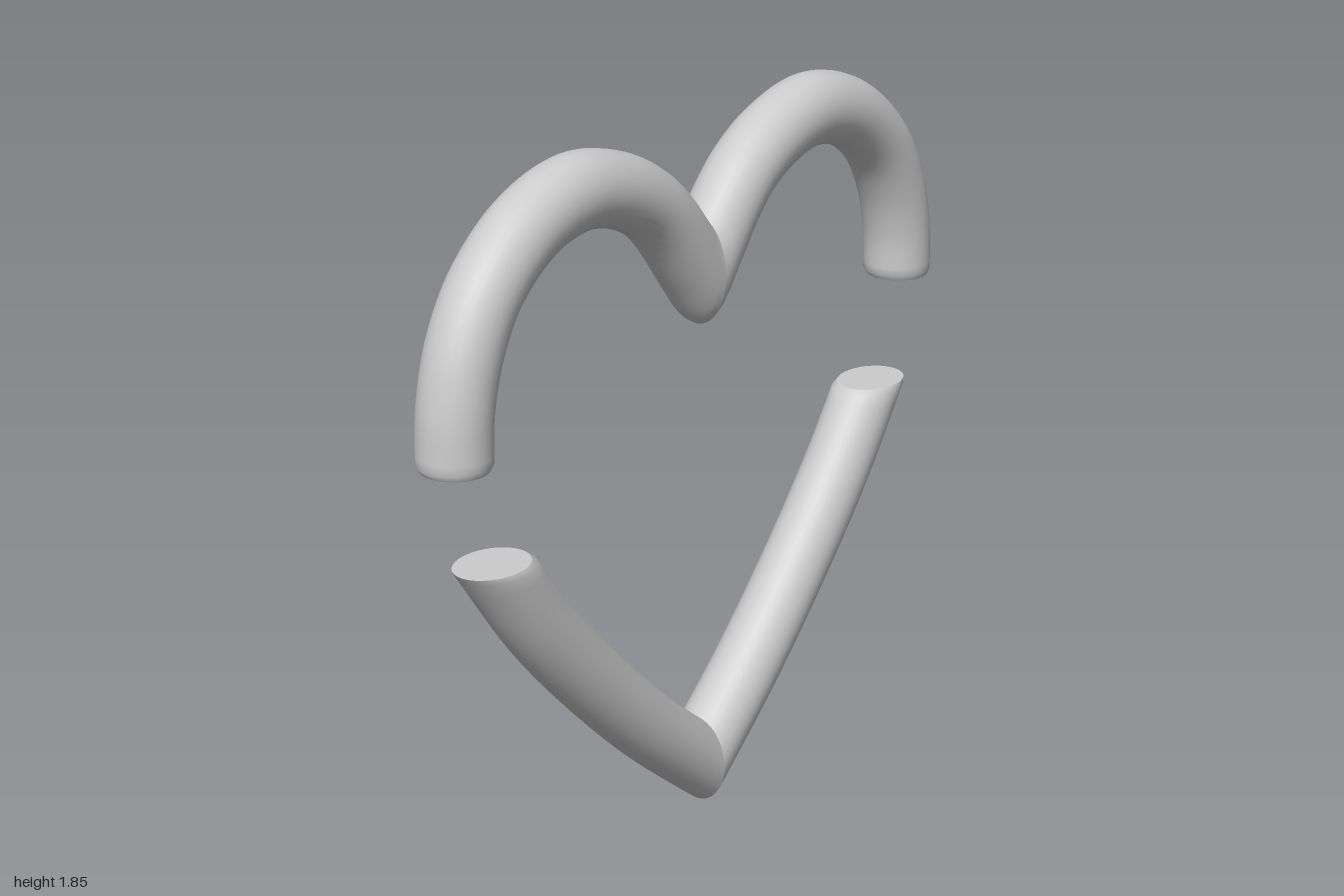
import * as THREE from 'three';

const RADIUS = 0.09;
const SIDES = 32;

// Right-hand half of each tube: matching outer and inner edge points, from the middle to the cut end
const UPPER = {
  outer: [[0, 1.594], [0.008, 1.603], [0.03, 1.628], [0.06, 1.662], [0.14, 1.735], [0.28, 1.812], [0.48, 1.853],
    [0.69, 1.797], [0.86, 1.665], [0.95, 1.52], [0.99, 1.37], [1, 1.232]],
  inner: [[0, 1.315], [0.025, 1.33], [0.1, 1.424], [0.195, 1.543], [0.256, 1.597], [0.353, 1.643], [0.465, 1.663],
    [0.6, 1.635], [0.72, 1.55], [0.783, 1.447], [0.815, 1.335], [0.82, 1.232]],
  cap: [[0.99, 1.217], [0.83, 1.217]],
  turn: 1,
};
const LOWER = {
  outer: [[0, 0], [0.035, 0.028], [0.274, 0.228], [0.495, 0.442], [0.7, 0.67], [0.888, 0.93]],
  inner: [[0, 0.237], [0.02, 0.253], [0.156, 0.367], [0.363, 0.57], [0.552, 0.781], [0.67, 0.933]],
  cap: [[0.898, 0.945], [0.688, 0.945]],
  turn: -1,
};

const vec = ([x, y]) => new THREE.Vector3(x, y, 0);

// Sweeps a round section between the two edges; side = -1 mirrors it to the other half
function halfTube({ outer, inner, cap, turn }, side) {
  const outerCurve = new THREE.CatmullRomCurve3(outer.map(vec));
  const innerCurve = new THREE.CatmullRomCurve3(inner.map(vec));
  const steps = (outer.length - 1) * 6;
  const rings = [];
  for (let i = 0; i <= steps; i++) {
    rings.push([outerCurve.getPoint(i / steps), innerCurve.getPoint(i / steps), RADIUS]);
  }
  // Slightly rounded rim, then a second copy so that the flat end keeps a sharp shade
  const rim = [vec(cap[0]), vec(cap[1]), RADIUS * 0.92];
  rings.push(rim, rim);

  const positions = [];
  for (const [a, b, depth] of rings) {
    for (let j = 0; j < SIDES; j++) {
      const angle = (j / SIDES) * Math.PI * 2;
      const p = b.clone().lerp(a, 0.5 + 0.5 * Math.cos(angle));
      positions.push(p.x * side, p.y, depth * Math.sin(angle));
    }
  }

  const index = [];
  const face = (a, b, c) => (turn * side > 0 ? index.push(a, b, c) : index.push(a, c, b));
  for (let i = 0; i < rings.length - 2; i++) {
    for (let j = 0; j < SIDES; j++) {
      const k = (j + 1) % SIDES;
      const a = i * SIDES;
      const b = a + SIDES;
      face(a + j, a + k, b + k);
      face(a + j, b + k, b + j);
    }
  }
  // Flat end
  const last = (rings.length - 1) * SIDES;
  for (let j = 1; j < SIDES - 1; j++) face(last, last + j, last + j + 1);

  const geometry = new THREE.BufferGeometry();
  geometry.setAttribute('position', new THREE.Float32BufferAttribute(positions, 3));
  geometry.setIndex(index);
  geometry.computeVertexNormals();
  return geometry;
}

export function createModel() {
  const model = new THREE.Group();
  model.name = 'splitHeart';
  const material = new THREE.MeshStandardMaterial({ color: 0xcccccc });

  for (const [name, profile] of [['upperArches', UPPER], ['lowerPoint', LOWER]]) {
    const part = new THREE.Group();
    part.name = name;
    for (const side of [1, -1]) {
      const half = new THREE.Mesh(halfTube(profile, side), material);
      half.name = name + (side > 0 ? 'Left' : 'Right');
      part.add(half);
    }
    model.add(part);
  }
  return model;
}
